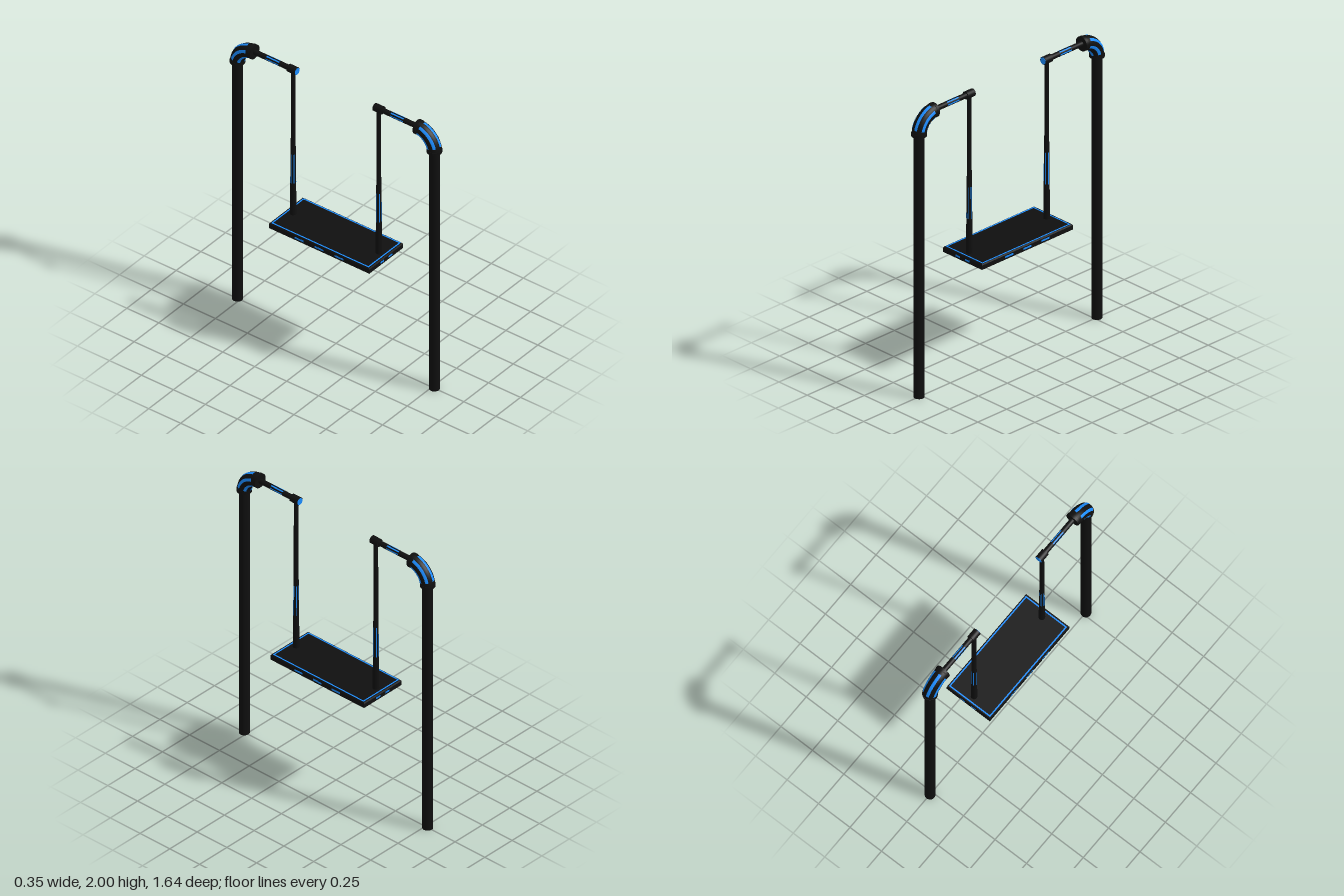
import * as THREE from 'three';

const black = new THREE.MeshStandardMaterial({ color: 0x0f0f0f });
const blue = new THREE.MeshStandardMaterial({ color: 0x1a8cff });

function add(parent, name, geometry, material, x = 0, y = 0, z = 0) {
  const mesh = new THREE.Mesh(geometry, material);
  mesh.name = name;
  mesh.position.set(x, y, z);
  parent.add(mesh);
  return mesh;
}

const rad = THREE.MathUtils.degToRad;
const BEND = 0.132, TUBE = 0.047, BEND_Z = 0.638, BEND_Y = 1.82;
const ARM_Y = BEND_Y + BEND, HANGER_Z = 0.335;

// Piece of a bent pipe: "around" is the range about the pipe, "along" the range
// of the bend, from 0 (bottom end) to 90 (top end), all in degrees
function bend(r, around, along, steps, segments) {
  const points = [];
  for (let i = 0; i <= steps; i++) {
    const a = rad(around[0] + ((around[1] - around[0]) * i) / steps);
    points.push(new THREE.Vector2(BEND + r * Math.cos(a), r * Math.sin(a)));
  }
  const g = new THREE.LatheGeometry(points, segments, rad(-along[1]), rad(along[1] - along[0]));
  return g.rotateZ(-Math.PI / 2);
}

// Narrow curved strip lying on an upright cylinder
function strip(r, height, angle, width) {
  return new THREE.CylinderGeometry(r, r, height, 3, 1, true, rad(angle - width / 2), rad(width));
}

// One post with its elbow, arm and hanger, at the front
function createSide() {
  const side = new THREE.Group();
  add(side, 'post', new THREE.CylinderGeometry(0.034, 0.034, 1.83, 32), black, 0, 0.915, BEND_Z + BEND);

  // Elbow with collars and closed ends
  add(side, 'elbow', bend(TUBE, [-180, 180], [0, 90], 32, 20), black, 0, BEND_Y, BEND_Z);
  const collar = new THREE.CylinderGeometry(0.049, 0.049, 0.02, 32);
  add(side, 'lowerCollar', collar, black, 0, BEND_Y + 0.008, BEND_Z + BEND);
  add(side, 'upperCollar', collar, black, 0, ARM_Y - 0.001, BEND_Z + 0.008).rotation.x = Math.PI / 2;
  for (let i = 0; i < 6; i++) {
    const a = 12 + i * 60;
    add(side, 'elbowStripe', bend(TUBE + 0.0015, [a - 12, a + 12], [15, 76], 4, 16), blue, 0, BEND_Y, BEND_Z);
  }

  // Horizontal arm
  const length = BEND_Z - HANGER_Z;
  const arm = new THREE.Group();
  arm.name = 'arm';
  arm.position.set(0, ARM_Y, HANGER_Z + length / 2);
  arm.rotation.x = Math.PI / 2;
  side.add(arm);
  add(arm, 'armRod', new THREE.CylinderGeometry(0.0175, 0.0175, length, 24), black);
  for (let i = 0; i < 6; i++) {
    add(arm, 'armStripe', strip(0.0185, 0.1, 30 + i * 60, 28), blue);
  }

  // Joint with a coloured cap on its inner end
  add(side, 'joint', new THREE.CylinderGeometry(0.026, 0.026, 0.064, 24), black, 0, ARM_Y, HANGER_Z + 0.001).rotation.x = Math.PI / 2;
  add(side, 'jointCap', new THREE.CylinderGeometry(0.023, 0.023, 0.004, 24), blue, 0, ARM_Y, HANGER_Z - 0.031).rotation.x = Math.PI / 2;

  // Hanger rod, thicker towards the seat
  const profile = [[0.021, 0.84], [0.0185, 1.09], [0.017, 1.31], [0.015, 1.43], [0.0145, 1.94]];
  const rod = new THREE.LatheGeometry(profile.map((p) => new THREE.Vector2(...p)), 24);
  add(side, 'hanger', rod, black, 0, 0, HANGER_Z);
  for (let i = 0; i < 6; i++) {
    const g = new THREE.CylinderGeometry(0.0176, 0.0192, 0.22, 2, 1, true, rad(i * 60 + 15), rad(18));
    add(side, 'hangerStripe', g, blue, 0, 1.2, HANGER_Z);
  }
  return side;
}

// Flat board with lightly bevelled top edges and coloured trim
function createSeat() {
  const seat = new THREE.Group();
  seat.name = 'seat';
  const w = 0.172, d = 0.393, bottom = 0.81, top = 0.848;
  add(seat, 'seatBoard', new THREE.BoxGeometry(2 * w, 0.03, 2 * d), black, 0, bottom + 0.015, 0);
  const upper = new THREE.BoxGeometry(2 * w, 0.008, 2 * d);
  const p = upper.attributes.position;
  for (let i = 0; i < p.count; i++) {
    if (p.getY(i) > 0) p.setXYZ(i, p.getX(i) * (1 - 0.005 / w), p.getY(i), p.getZ(i) * (1 - 0.005 / d));
  }
  upper.computeVertexNormals();
  add(seat, 'seatTop', upper, black, 0, top - 0.004, 0);

  for (const s of [-1, 1]) {
    // Border line on the top
    add(seat, 'borderLong', new THREE.BoxGeometry(0.009, 0.002, 0.762), blue, s * 0.159, top, 0);
    add(seat, 'borderShort', new THREE.BoxGeometry(0.327, 0.002, 0.009), blue, 0, top, s * 0.3765);
    // Dashes along the edges
    for (const z of [-0.157, 0, 0.157]) {
      add(seat, 'sideDash', new THREE.BoxGeometry(0.002, 0.012, 0.07), blue, s * w, 0.827, z);
    }
    for (const x of [-0.042, 0.042]) {
      add(seat, 'endDash', new THREE.BoxGeometry(0.036, 0.012, 0.002), blue, x, 0.827, s * d);
    }
  }
  return seat;
}

export function createModel() {
  const model = new THREE.Group();
  model.name = 'swing';
  const front = createSide();
  front.name = 'frontSupport';
  const back = createSide();
  back.name = 'backSupport';
  back.rotation.y = Math.PI;
  model.add(front, back, createSeat());
  return model;
}
